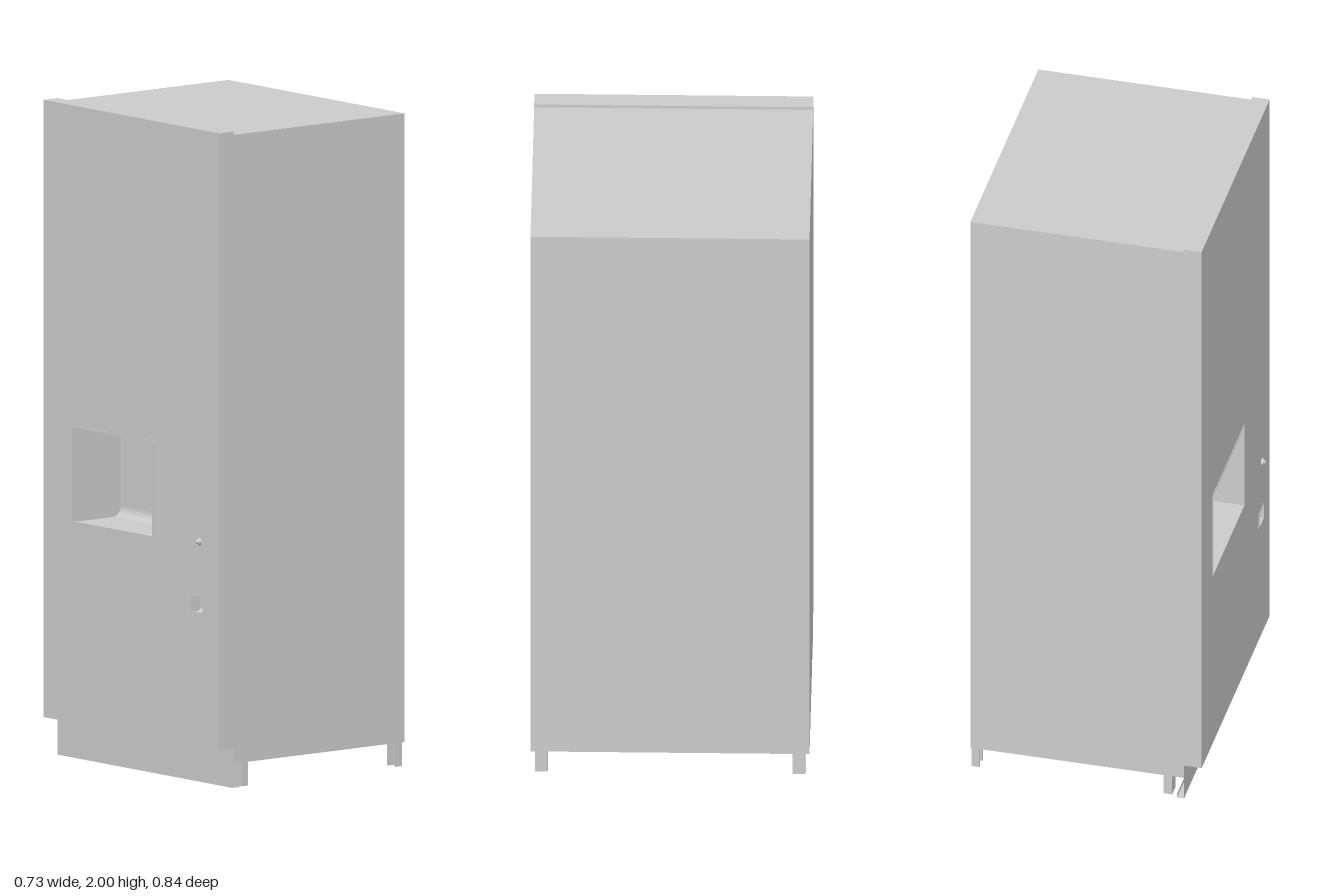
import * as THREE from 'three';

const mat = new THREE.MeshStandardMaterial({ color: 0xcccccc, side: THREE.DoubleSide, flatShading: true });
const L = -0.355, K = -0.30, R = 0.363, Z = 0.42;

function add(parent, name, geo, x = 0, y = 0, z = 0) {
  const m = new THREE.Mesh(geo, mat);
  m.name = name;
  m.position.set(x, y, z);
  parent.add(m);
  return m;
}
const box = (w, h, d) => new THREE.BoxGeometry(w, h, d);

// Sheet swept along z through a list of [x, y] points
function sheet(pts, z0, z1) {
  const pos = [], idx = [];
  pts.forEach(([x, y], i) => {
    pos.push(x, y, z0, x, y, z1);
    if (i) {
      const a = 2 * i - 2;
      idx.push(a, a + 1, a + 2, a + 1, a + 3, a + 2);
    }
  });
  const g = new THREE.BufferGeometry();
  g.setAttribute('position', new THREE.Float32BufferAttribute(pos, 3));
  g.setIndex(idx);
  const flat = g.toNonIndexed();
  flat.computeVertexNormals();
  return flat;
}
const polygon = (pts) => new THREE.Shape(pts.map(([x, y]) => new THREE.Vector2(x, y)));
const rect = (z0, z1, y0, y1) => [[z0, y0], [z1, y0], [z1, y1], [z0, y1]];

export function createModel() {
  const g = new THREE.Group();
  g.name = 'dispensingCabinet';

  // Hollow cabinet, open underneath, with a slightly taller door strip
  const outline = [[K, 0.12], [L, 0.12], [L, 2], [K, 2], [K, 1.99], [R, 1.99], [R, 0.075], [K, 0.075]];
  add(g, 'frontWall', new THREE.ShapeGeometry(polygon(outline)), 0, 0, Z);
  add(g, 'backWall', new THREE.ShapeGeometry(polygon(outline)).rotateY(Math.PI).scale(-1, 1, 1), 0, 0, -Z);
  add(g, 'doorBottom', sheet([[K, 0.12], [L, 0.12]], -Z, Z));
  add(g, 'roofAndOuterWall', sheet(outline.slice(2, 7), -Z, Z));

  // Door panel with openings for the delivery bay and the return cup
  const bay = { z0: -0.285, z1: 0.105, y0: 0.73, y1: 1.025 };
  const cup = { z0: 0.28, z1: 0.345, y0: 0.525, y1: 0.58 };
  const door = polygon(rect(-Z, Z, 0.12, 2));
  for (const o of [bay, cup]) door.holes.push(polygon(rect(o.z0, o.z1, o.y0, o.y1)));
  add(g, 'doorPanel', new THREE.ShapeGeometry(door).rotateY(-Math.PI / 2), L, 0, 0);

  // Recess: swept floor, back and ceiling, closed by two cheeks
  function recess(name, o, depth, fillet) {
    const grp = new THREE.Group();
    grp.name = name;
    const xb = L + depth, pts = [[L, o.y0]];
    for (let i = 0; i <= 6; i++) {
      const a = (i / 6) * Math.PI / 2;
      pts.push([xb - fillet + fillet * Math.sin(a), o.y0 + fillet - fillet * Math.cos(a)]);
    }
    pts.push([xb, o.y1], [L, o.y1]);
    add(grp, 'recessLining', sheet(pts, o.z0, o.z1));
    for (const z of [o.z0, o.z1]) add(grp, 'recessCheek', new THREE.ShapeGeometry(polygon(pts)), 0, 0, z);
    g.add(grp);
  }
  recess('deliveryBay', bay, 0.19, 0.03);
  recess('returnCup', cup, 0.04, 0.012);

  // Thin rims around both openings
  for (const [o, name] of [[bay, 'bayRim'], [cup, 'cupRim']]) {
    const t = 0.004, h = o.y1 - o.y0, w = o.z1 - o.z0, yc = (o.y0 + o.y1) / 2, zc = (o.z0 + o.z1) / 2;
    for (const y of [o.y0 + t / 2, o.y1 - t / 2]) add(g, name, box(t, t, w), L, y, zc);
    for (const z of [o.z0 + t / 2, o.z1 - t / 2]) add(g, name, box(t, h, t), L, yc, z);
  }

  // Lock knob on the door
  add(g, 'lockCollar', new THREE.CylinderGeometry(0.010, 0.012, 0.006, 16).rotateZ(Math.PI / 2), L - 0.003, 0.745, 0.323);
  add(g, 'lockKnob', new THREE.CylinderGeometry(0.004, 0.008, 0.007, 16).rotateZ(Math.PI / 2), L - 0.0085, 0.745, 0.323);

  // Kick plate with folded lips
  add(g, 'kickPlate', sheet([[K + 0.022, 0.12], [K, 0.12], [K, 0], [K + 0.022, 0], [K + 0.022, 0.012]], -Z, Z));

  // Channel-shaped feet at the four corners
  for (const x of [-0.247, 0.35]) for (const s of [-1, 1]) {
    const foot = new THREE.Group();
    foot.name = 'foot';
    add(foot, 'footWeb', box(0.026, 0.12, 0.004), 0, 0.06, s * 0.37);
    add(foot, 'footWeb', box(0.026, 0.12, 0.004), 0, 0.06, s * 0.405);
    add(foot, 'footFlange', box(0.004, 0.12, 0.035), x > 0 ? 0.011 : -0.011, 0.06, s * 0.3875);
    foot.position.x = x;
    g.add(foot);
  }
  return g;
}
